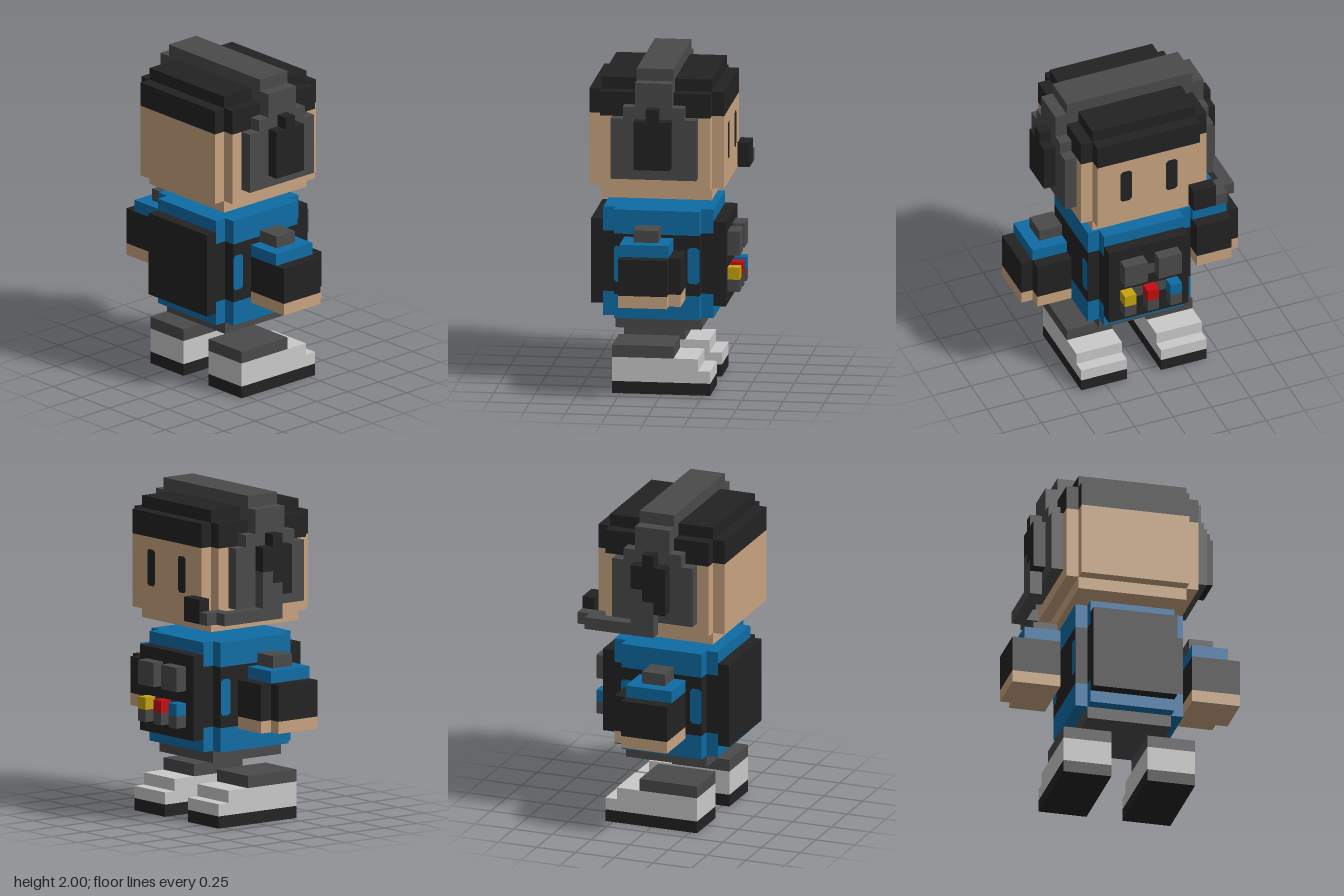
import * as THREE from 'three';
import { mergeGeometries } from 'three/addons/utils/BufferGeometryUtils.js';

// Everything is laid out on a block grid, 27 blocks tall.
const U = 2 / 27;

const paint = (name, color) => {
  const m = new THREE.MeshStandardMaterial({ color });
  m.name = name;
  return m;
};

export function createModel() {
  const model = new THREE.Group();
  model.name = 'blockFigure';
  const black = paint('black', 0x222222);
  const grey = paint('grey', 0x4a4a4a);
  const skin = paint('skin', 0xc8a37f);
  const blue = paint('blue', 0x0e6ca4);
  const white = paint('white', 0xc9c9c9);
  const yellow = paint('yellow', 0xc4a30f);
  const red = paint('red', 0xc40c10);

  // One mesh from boxes given as [x0, x1, y0, y1, z0, z1] in blocks
  const blocks = (parent, name, material, ...list) => {
    const geos = list.map(([x0, x1, y0, y1, z0, z1]) =>
      new THREE.BoxGeometry(x1 - x0, y1 - y0, z1 - z0)
        .translate((x0 + x1) / 2, (y0 + y1) / 2, (z0 + z1) / 2));
    const mesh = new THREE.Mesh(mergeGeometries(geos).scale(U, U, U), material);
    mesh.name = name;
    parent.add(mesh);
  };

  // Layer with notched vertical corners
  const notched = (x0, x1, y0, y1, z) => [
    [x0, x1, y0, y1, -z + 1, z - 1],
    [x0 + 1, x1 - 1, y0, y1, -z, z],
  ];

  // Same box on the +z or -z side
  const side = (s, [x0, x1, y0, y1, z0, z1]) =>
    s > 0 ? [x0, x1, y0, y1, z0, z1] : [x0, x1, y0, y1, -z1, -z0];

  // Flat painted patch with clipped corners
  const patch = (parent, name, material, w, h, pos, turn, c = 0.2) => {
    const a = w / 2, b = h / 2;
    const pts = [[-a + c, -b], [a - c, -b], [a, -b + c], [a, b - c],
      [a - c, b], [-a + c, b], [-a, b - c], [-a, -b + c]];
    const shape = new THREE.Shape(pts.map(([x, y]) => new THREE.Vector2(x, y)));
    const geo = new THREE.ShapeGeometry(shape).rotateY(turn).translate(...pos).scale(U, U, U);
    const mesh = new THREE.Mesh(geo, material);
    mesh.name = name;
    parent.add(mesh);
  };

  const section = (name) => {
    const g = new THREE.Group();
    g.name = name;
    model.add(g);
    return g;
  };

  // Head, facing +x
  const head = section('head');
  blocks(head, 'face', skin, ...notched(-6, 5, 17, 23, 5.5));
  blocks(head, 'chin', skin, [-5, 4, 16, 17, -4.5, 4.5]);
  blocks(head, 'hair', black, ...notched(-6, 5, 23, 25, 5.5), [-5, 4, 25, 26, -4.5, 4.5]);
  for (const s of [-1, 1]) {
    patch(head, 'eye', black, 1, 3, [5.04, 20.5, 2 * s], Math.PI / 2);
  }

  // Headset: band, ear cups and boom microphone
  const headset = section('headset');
  blocks(headset, 'headband', grey, [-2, 1, 26, 27, -5.5, 5.5],
    [-2, 1, 25, 26, 4.5, 5.5], [-2, 1, 25, 26, -5.5, -4.5]);
  for (const s of [-1, 1]) {
    blocks(headset, 'earCup', grey, ...[
      [-4, 3, 18, 23, 5.5, 6.5],
      [-3, 2, 23, 24, 5.5, 6.5],
      [-2, 1, 24, 26, 5.5, 6.5],
    ].map((b) => side(s, b)));
    // The boom takes the place of the lower part of one ear pad
    const lower = s > 0
      ? [[-2, 1, 19, 21, 6.5, 7.5]]
      : [[-2, -1, 19, 21, 6.5, 7.5], [-1, 0, 20, 21, 6.5, 7.5]];
    blocks(headset, 'earPad', black, ...[
      [-2, 1, 21, 23, 6.5, 7.5],
      [-1, 0, 23, 24, 6.5, 7.5],
      ...lower,
    ].map((b) => side(s, b)));
  }
  blocks(headset, 'microphoneBoom', grey,
    [0, 1, 18, 21, -7.5, -6.5], [-1, 0, 18, 20, -7.5, -6.5],
    [-1, 5, 17, 18, -7.5, -6.5], [4, 6, 17, 18, -6.5, -5.5]);
  blocks(headset, 'microphone', black, [5, 6, 17, 19, -5.5, -3.5]);

  // Torso and vest
  const torso = section('torso');
  blocks(torso, 'waist', grey, [-4, 3, 5, 6, -3.5, 3.5]);
  blocks(torso, 'shirtHem', blue, ...notched(-5, 4, 6, 8, 4.5));
  blocks(torso, 'vestSides', black, ...notched(-5, 4, 8, 13, 4.5));
  blocks(torso, 'collar', blue, ...notched(-5, 4, 13, 15, 4.5));
  blocks(torso, 'vestPanels', black,
    [-6, -5, 7, 14, -3.5, 3.5], [4, 5, 7, 14, -3.5, 3.5]);
  for (const s of [-1, 1]) {
    for (const x of [-3.5, 2.5]) {
      patch(torso, 'vestSideGap', blue, 1, 3, [x, 10.5, 4.54 * s], s > 0 ? 0 : Math.PI);
    }
  }

  // Chest gear
  const gear = section('chestGear');
  for (const s of [-1, 1]) {
    blocks(gear, 'chestPouch', grey, side(s, [5, 6, 11, 13, 0.5, 2.5]));
    patch(gear, 'pouchStrap', grey, 1, 1, [5.04, 9.5, s], Math.PI / 2, 0.1);
  }
  patch(gear, 'pouchLink', grey, 1, 1, [5.04, 11.5, 0], Math.PI / 2, 0.1);
  [[yellow, 2], [red, 0], [blue, -2]].forEach(([material, z]) => {
    blocks(gear, 'canisterCap', material, [5, 6, 9, 10, z - 0.5, z + 0.5]);
    blocks(gear, 'canisterBase', grey, [5, 6, 8, 9, z - 0.5, z + 0.5]);
  });

  // Arms and legs
  for (const s of [-1, 1]) {
    const arm = section(s > 0 ? 'armPlusZ' : 'armMinusZ');
    const part = (group, name, material, ...list) =>
      blocks(group, name, material, ...list.map((b) => side(s, b)));
    part(arm, 'shoulderPad', grey, [-2, 0, 13, 14, 5.5, 7.5]);
    part(arm, 'sleeve', blue, [-3, 1, 12, 13, 5.5, 8.5]);
    part(arm, 'glove', black, [-3, 1, 9, 12, 5.5, 9.5], [1, 2, 9, 12, 5.5, 8.5]);
    part(arm, 'fingers', skin, [-3, 1, 8, 9, 5.5, 9.5], [1, 2, 8, 9, 5.5, 8.5]);

    const leg = section(s > 0 ? 'legPlusZ' : 'legMinusZ');
    part(leg, 'trouserCuff', grey, [-4, 1, 3, 4, 1.5, 5.5]);
    part(leg, 'shoe', white, [-4, 4, 1, 2, 1.5, 5.5], [-4, 3, 2, 3, 1.5, 5.5]);
    part(leg, 'sole', black, [-4, 4, 0, 1, 1.5, 5.5]);
  }
  return model;
}
